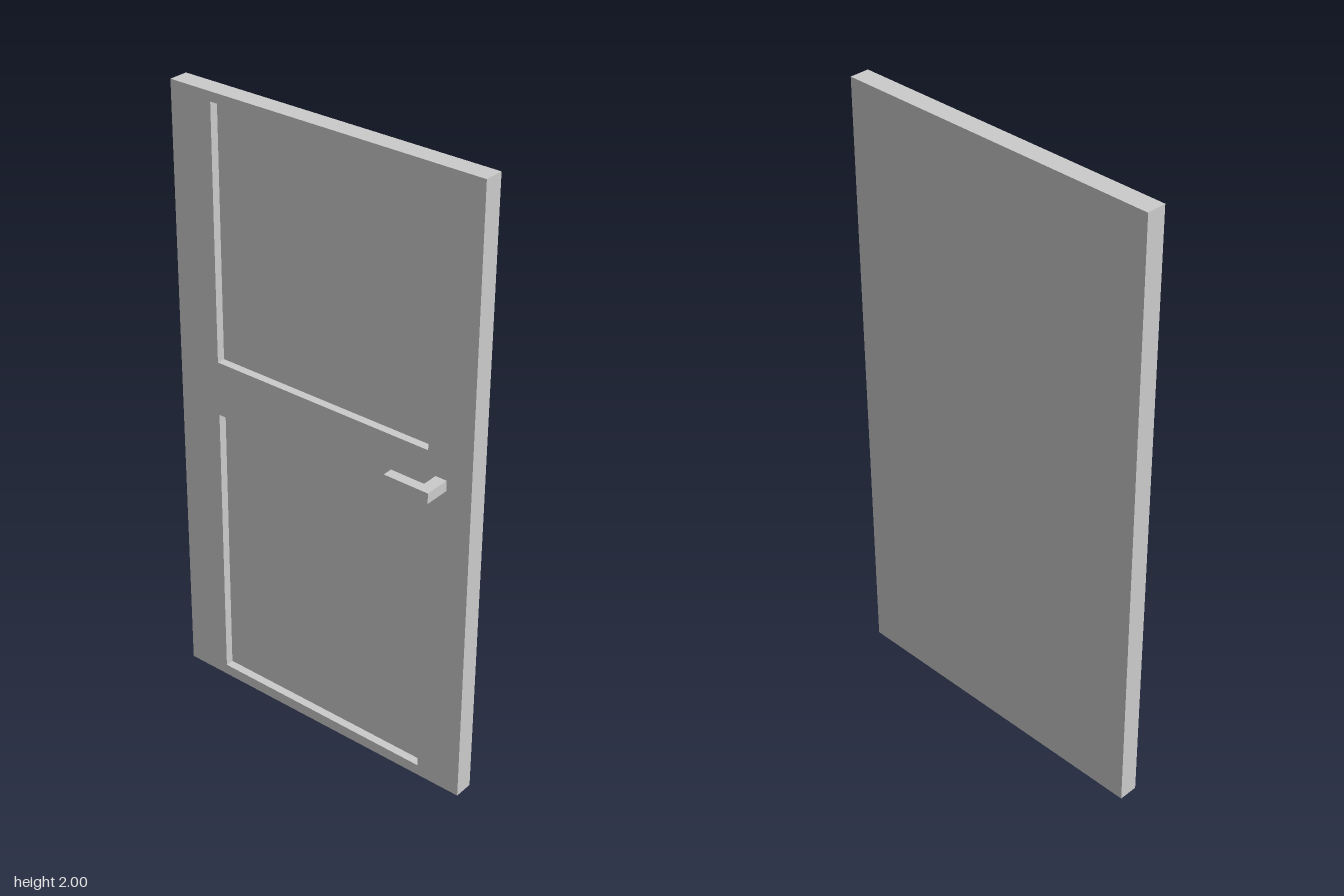
import * as THREE from 'three';

const material = new THREE.MeshStandardMaterial({ color: 0xcccccc, flatShading: true });

const WIDTH = 1.076, HEIGHT = 2;
const BACK = -0.075, FRONT = -0.012, RECESS = 0.027;

// Traces a rectangle on a Shape or Path
function rectangle(path, x0, y0, x1, y1) {
  path.moveTo(x0, y0);
  path.lineTo(x1, y0);
  path.lineTo(x1, y1);
  path.lineTo(x0, y1);
  path.closePath();
  return path;
}

// Extrudes a flat shape by the given depth
function extrude(name, shape, depth) {
  const geometry = new THREE.ExtrudeGeometry(shape, { depth, bevelEnabled: false });
  const mesh = new THREE.Mesh(geometry, material);
  mesh.name = name;
  return mesh;
}

export function createModel() {
  const model = new THREE.Group();
  model.name = 'door';

  // Door leaf: full outline behind, frame with two panel openings in front
  const outline = () => rectangle(new THREE.Shape(), -WIDTH / 2, 0, WIDTH / 2, HEIGHT);
  const slab = extrude('doorSlab', outline(), FRONT - RECESS - BACK);
  slab.position.z = BACK;

  const frameShape = outline();
  for (const [bottom, top] of [[0.036, 0.976], [1.155, 1.97]]) {
    frameShape.holes.push(rectangle(new THREE.Path(), -0.39, bottom, 0.387, top));
  }
  const frame = extrude('panelFrame', frameShape, RECESS);
  frame.position.z = FRONT - RECESS;

  // L-shaped lever handle, drawn in plan (x, -z) and raised in y
  const lever = new THREE.Shape();
  [[0.3, 0.073], [0.453, 0.073], [0.453, FRONT], [0.415, FRONT], [0.415, 0.04], [0.3, 0.04]]
    .forEach(([x, z], i) => (i ? lever.lineTo(x, -z) : lever.moveTo(x, -z)));
  const handle = extrude('leverHandle', lever, 0.034);
  handle.rotation.x = -Math.PI / 2;
  handle.position.y = 1.049;

  model.add(slab, frame, handle);
  return model;
}
